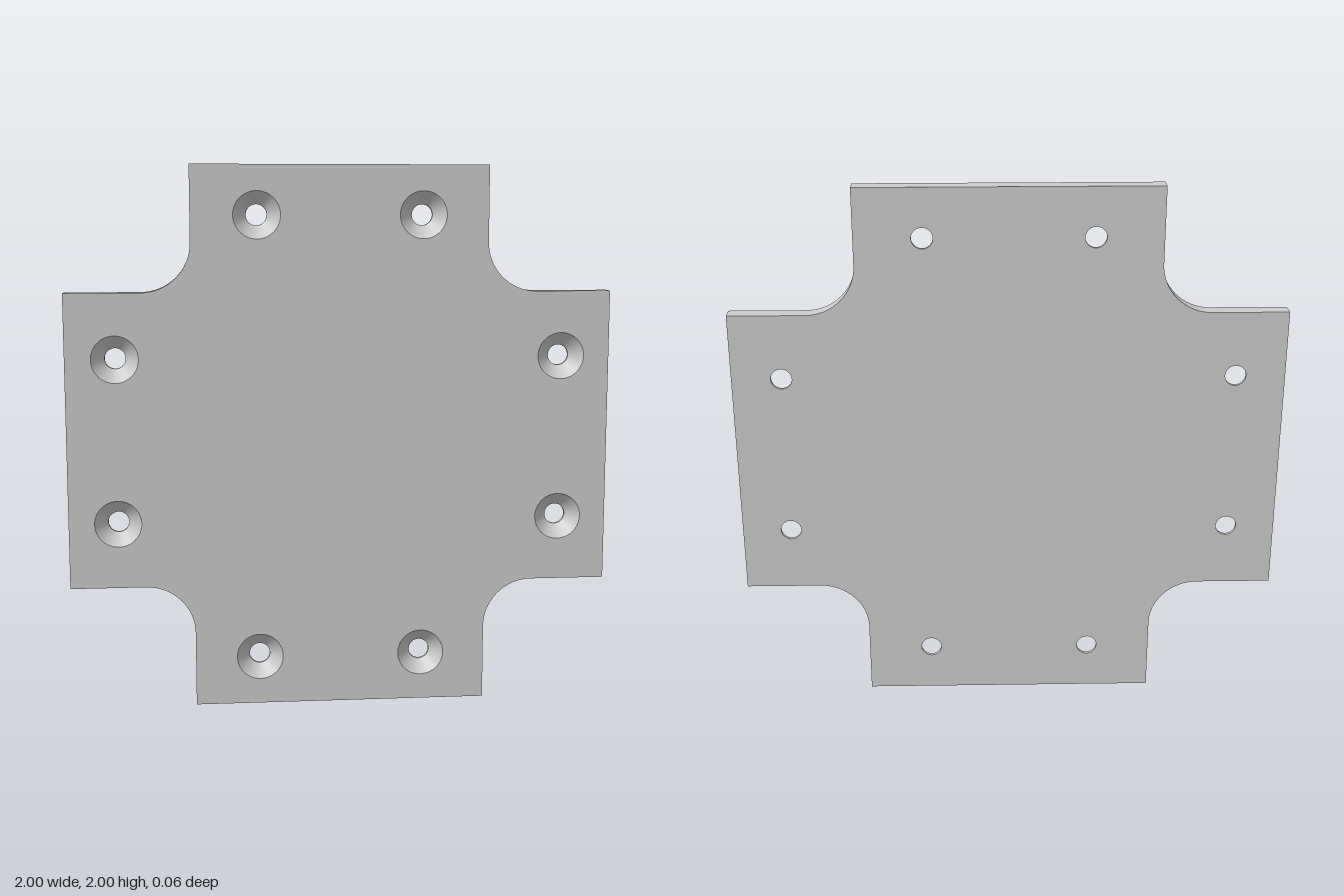
import * as THREE from 'three';
import { toCreasedNormals } from 'three/addons/utils/BufferGeometryUtils.js';

const HALF_T = 0.03;      // half plate thickness
const ARM = 0.543;        // half width of each arm
const FILLET = 0.18;      // inner corner radius
const HOLE_R = 0.038, SINK_R = 0.086, SINK_DEPTH = 0.048;
const SEGMENTS = 48;

// Cross outline, counter-clockwise: one filleted corner turned four times
function crossOutline() {
  const corner = [new THREE.Vector2(1, ARM)];
  const c = ARM + FILLET, steps = 16;
  for (let i = 0; i <= steps; i++) {
    const a = -Math.PI / 2 - (i / steps) * Math.PI / 2;
    corner.push(new THREE.Vector2(c + FILLET * Math.cos(a), c + FILLET * Math.sin(a)));
  }
  corner.push(new THREE.Vector2(ARM, 1));
  const origin = new THREE.Vector2();
  const outline = [];
  for (let k = 0; k < 4; k++) {
    for (const p of corner) outline.push(p.clone().rotateAround(origin, k * Math.PI / 2));
  }
  return outline;
}

// Two holes near the end of each arm
function holeCentres() {
  const centres = [];
  for (const s of [-1, 1]) for (const t of [-1, 1]) {
    centres.push([s * 0.303, t * 0.82], [s * 0.82, t * 0.303]);
  }
  return centres;
}

function faceGeometry(outline, centres, radius) {
  const shape = new THREE.Shape(outline);
  for (const [x, y] of centres) {
    shape.holes.push(new THREE.Path().absarc(x, y, radius, 0, Math.PI * 2, true));
  }
  return new THREE.ShapeGeometry(shape, SEGMENTS / 2);
}

// Rim wall following the outline through the thickness
function rimGeometry(outline) {
  const pos = [];
  outline.forEach((a, i) => {
    const b = outline[(i + 1) % outline.length];
    pos.push(a.x, a.y, -HALF_T, b.x, b.y, -HALF_T, b.x, b.y, HALF_T);
    pos.push(a.x, a.y, -HALF_T, b.x, b.y, HALF_T, a.x, a.y, HALF_T);
  });
  const geo = new THREE.BufferGeometry();
  geo.setAttribute('position', new THREE.Float32BufferAttribute(pos, 3));
  return toCreasedNormals(geo, Math.PI / 6);
}

// Inward-facing ring wall, running from front to back along z
function boreGeometry(r1, z1, r2, z2) {
  const profile = [new THREE.Vector2(r1, z1), new THREE.Vector2(r2, z2)];
  return new THREE.LatheGeometry(profile, SEGMENTS).rotateX(Math.PI / 2);
}

export function createModel() {
  const model = new THREE.Group();
  model.name = 'crossPlate';
  const material = new THREE.MeshStandardMaterial({ color: 0xcccccc, side: THREE.DoubleSide });
  const outline = crossOutline();
  const centres = holeCentres();

  const add = (name, geometry, x = 0, y = 0) => {
    const mesh = new THREE.Mesh(geometry, material);
    mesh.name = name;
    mesh.position.set(x, y + 1, 0);
    model.add(mesh);
  };

  // Plate skin: wide openings in front, narrow ones behind
  add('frontFace', faceGeometry(outline, centres, SINK_R).translate(0, 0, HALF_T));
  const back = faceGeometry(outline, centres, HOLE_R);
  back.rotateY(Math.PI).translate(0, 0, -HALF_T); // symmetric, so turning it keeps the holes aligned
  add('backFace', back);
  add('rim', rimGeometry(outline));

  // Countersunk screw holes
  const floor = HALF_T - SINK_DEPTH;
  const sink = boreGeometry(SINK_R, HALF_T, HOLE_R, floor);
  const bore = boreGeometry(HOLE_R, floor, HOLE_R, -HALF_T);
  for (const [x, y] of centres) {
    add('countersink', sink, x, y);
    add('screwHole', bore, x, y);
  }
  return model;
}
